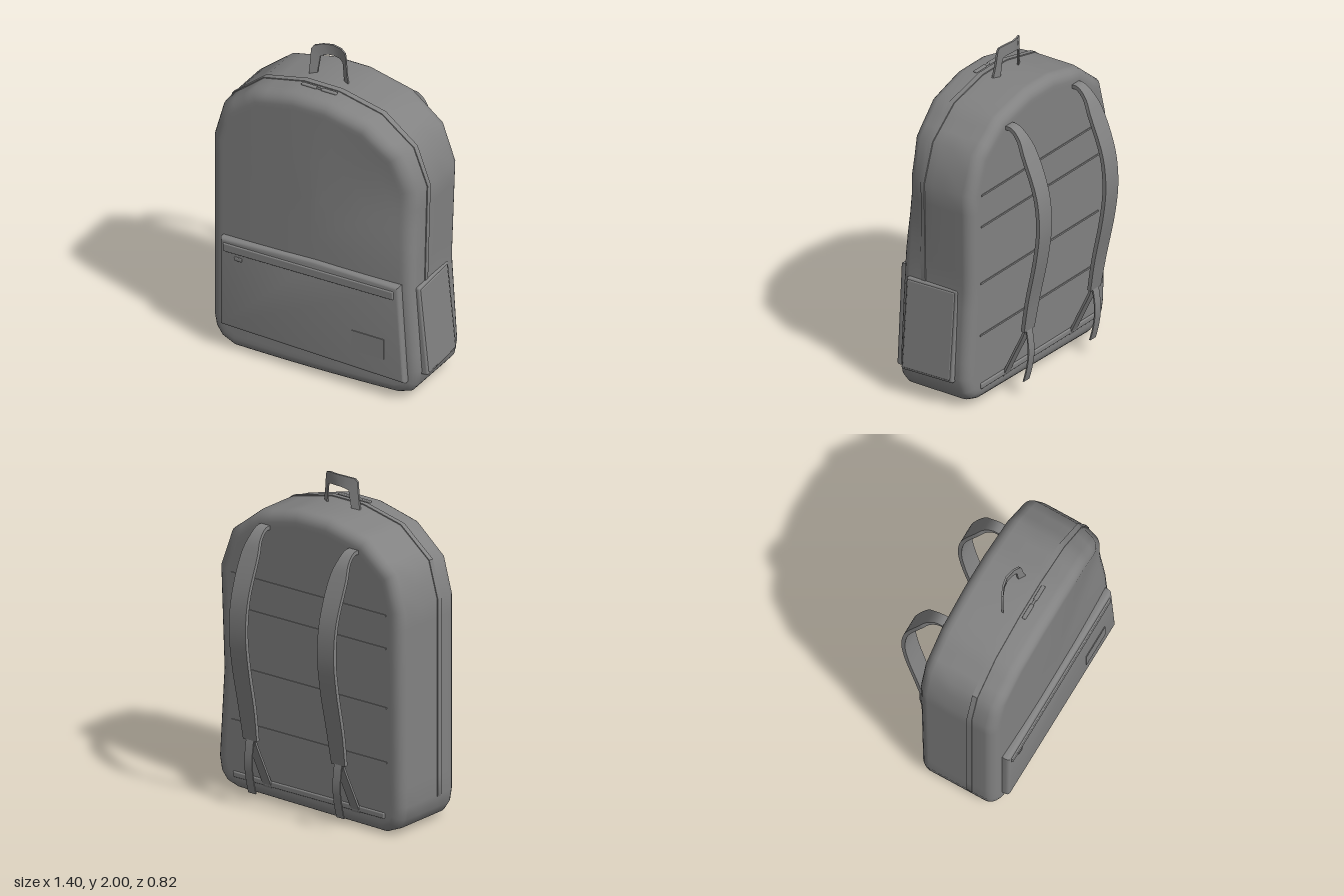
import * as THREE from 'three';
import { toCreasedNormals } from 'three/addons/utils/BufferGeometryUtils.js';
import { RoundedBoxGeometry } from 'three/addons/geometries/RoundedBoxGeometry.js';

const fabric = new THREE.MeshStandardMaterial({ color: 0x828282 });
const step = THREE.MathUtils.smoothstep;

function add(parent, name, geometry, x = 0, y = 0, z = 0) {
  const mesh = new THREE.Mesh(geometry, fabric);
  mesh.name = name;
  mesh.position.set(x, y, z);
  parent.add(mesh);
  return mesh;
}

// Skin closed rings of [x, y, z] points, with a fan at each end.
function loft(rings, crease = 0) {
  const n = rings[0].length, last = (rings.length - 1) * n;
  const pos = rings.flat(2), idx = [];
  for (let i = 0; i < rings.length - 1; i++) {
    for (let j = 0; j < n; j++) {
      const a = i * n + j, b = i * n + (j + 1) % n;
      idx.push(a, b, b + n, a, b + n, a + n);
    }
  }
  const centre = ring => [0, 1, 2].map(k => ring.reduce((s, p) => s + p[k], 0) / n);
  pos.push(...centre(rings[0]), ...centre(rings[rings.length - 1]));
  const c = rings.length * n;
  for (let j = 0; j < n; j++) {
    const k = (j + 1) % n;
    idx.push(c, k, j, c + 1, last + j, last + k);
  }
  const geo = new THREE.BufferGeometry();
  geo.setAttribute('position', new THREE.Float32BufferAttribute(pos, 3));
  geo.setIndex(idx);
  geo.computeVertexNormals();
  return crease ? toCreasedNormals(geo, crease) : geo;
}

// Bag outline, anticlockwise from the bottom right, with long edges subdivided.
const corners = [
  [0.52, 0.02], [0.6, 0.045], [0.645, 0.1], [0.66, 0.19], [0.622, 0.73], [0.64, 1.35],
  [0.555, 1.58], [0.35, 1.74], [0.07, 1.805], [-0.16, 1.805], [-0.43, 1.745], [-0.635, 1.58],
  [-0.697, 1.36], [-0.697, 0.18], [-0.682, 0.1], [-0.64, 0.04], [-0.55, 0.002],
];
const outline = corners.flatMap(([x, y], i) => {
  const [u, v] = corners[(i + 1) % corners.length];
  const n = Math.ceil(Math.hypot(u - x, v - y) / 0.13);
  return Array.from({ length: n }, (_, k) => [x + (u - x) * k / n, y + (v - y) * k / n]);
});

// Move the outline inwards along its mitred normals.
function inset(amount) {
  const n = outline.length;
  const dir = (a, b) => new THREE.Vector2(b[0] - a[0], b[1] - a[1]).normalize();
  return outline.map((p, i) => {
    const d0 = dir(outline[(i + n - 1) % n], p), d1 = dir(p, outline[(i + 1) % n]);
    const m = new THREE.Vector2(-d0.y - d1.y, d0.x + d1.x).normalize();
    const k = (typeof amount === 'function' ? amount(p) : amount) / (m.x * -d1.y + m.y * d1.x);
    return [p[0] + m.x * k, p[1] + m.y * k];
  });
}

// Soft deformation: sloping back, slack front, narrower front right edge.
const backZ = y => -0.135 - 0.012 * y;
function place(x, y, z) {
  const front = step(z, 0.15, 0.37);
  const slack = 0.04 * Math.exp(-(((y - 1.3) / 0.35) ** 2)) * THREE.MathUtils.clamp(x / 0.6, 0, 1);
  const bow = 0.015 * (x / 0.6) ** 2;
  const back = 1 - step(z, -0.14, 0.1);
  return [
    x - (x > 0 ? 0.03 * front * step(y, 0.7, 1.3) * Math.min(1, x / 0.4) : 0),
    y - 0.014 * front * step(y, 1, 1.7),
    z - front * (slack + bow) + back * (backZ(y) + 0.145),
  ];
}

function bodyGeometry() {
  const r = 0.065, zb = -0.145, zf = 0.37, rings = [];
  const ring = (d, z, s = 1) =>
    inset(d).map(([x, y]) => place(-0.02 + (x + 0.02) * s, 0.9 + (y - 0.9) * s, z));
  const scales = [0.3, 0.6, 0.85, 0.97];
  scales.forEach(s => rings.push(ring(r, zb, s)));
  for (let i = 0; i <= 5; i++) {
    const t = i / 5 * Math.PI / 2;
    rings.push(ring(r * (1 - Math.sin(t)), zb + r * (1 - Math.cos(t))));
  }
  [0.04, 0.12, 0.2, 0.25].forEach(z => rings.push(ring(0, z)));
  for (let i = 0; i <= 5; i++) {
    const t = i / 5 * Math.PI / 2;
    rings.push(ring(r * (1 - Math.cos(t)), zf - r * (1 - Math.sin(t))));
  }
  scales.reverse().forEach(s => rings.push(ring(r, zf, s)));
  return loft(rings);
}

// Flat band running through [y, z, width] points, widest along x.
function band(points, thickness, samples) {
  const curve = new THREE.CatmullRomCurve3(points.map(p => new THREE.Vector3(...p)));
  const rings = [];
  for (let i = 0; i <= samples; i++) {
    const { x: y, y: z, z: w } = curve.getPoint(i / samples);
    const t = curve.getTangent(i / samples), len = Math.hypot(t.x, t.y);
    const uy = t.y / len * thickness / 2, uz = -t.x / len * thickness / 2;
    rings.push([[w / 2, y - uy, z - uz], [w / 2, y + uy, z + uz],
      [-w / 2, y + uy, z + uz], [-w / 2, y - uy, z - uz]]);
  }
  return loft(rings, 0.7);
}

export function createModel() {
  const bag = new THREE.Group();
  bag.name = 'backpack';
  add(bag, 'body', bodyGeometry());

  // Zip band over the top and down the right side, ending at the side pocket on the left
  const bandRing = (d, z) => inset(([x, y]) => (y > (x > 0 ? 0.72 : 0.15) ? d : 0.02))
    .map(([x, y]) => place(x, y, z));
  add(bag, 'mainZip', loft([bandRing(0.02, 0.174), bandRing(-0.005, 0.178),
    bandRing(-0.005, 0.212), bandRing(0.02, 0.216)], 0.6));
  for (const x of [-0.115, 0.015]) {
    add(bag, 'mainZipPull', new RoundedBoxGeometry(0.1, 0.014, 0.024, 2, 0.006), x, 1.803, 0.238);
  }
  add(bag, 'mainZipPullLink', new RoundedBoxGeometry(0.06, 0.012, 0.014, 2, 0.005), -0.05, 1.803, 0.238);

  // Top handle: outer and inner edge pairs, bowed backwards
  const edges = [
    [-0.19, 1.79, -0.15, 1.79], [-0.183, 1.88, -0.14, 1.86], [-0.178, 1.965, -0.133, 1.915],
    [-0.165, 1.985, -0.115, 1.923], [-0.12, 1.995, -0.09, 1.93], [-0.06, 2, -0.055, 1.932],
    [0, 1.997, -0.01, 1.93], [0.035, 1.985, 0.012, 1.92], [0.043, 1.965, 0.018, 1.905],
    [0.053, 1.88, 0.022, 1.86], [0.07, 1.79, 0.03, 1.79],
  ];
  add(bag, 'topHandle', loft(edges.map(([ox, oy, ix, iy]) => {
    const z = x => 0.115 - 0.05 * Math.max(0, Math.cos((x + 0.06) / 0.13 * Math.PI / 2));
    return [[ox, oy, z(ox) - 0.006], [ox, oy, z(ox) + 0.006],
      [ix, iy, z(ix) + 0.006], [ix, iy, z(ix) - 0.006]];
  }), 0.7));

  // Front pocket with zip flap, pull and blank patch
  const pocket = new THREE.Group();
  pocket.name = 'frontPocket';
  bag.add(pocket);
  const shape = new THREE.Shape([[-0.59, 0.182], [0.58, 0.152], [0.54, 0.735], [0, 0.74], [-0.59, 0.715]]
    .map(p => new THREE.Vector2(...p)));
  add(pocket, 'pocketPanel', toCreasedNormals(new THREE.ExtrudeGeometry(shape, {
    depth: 0.03, bevelSize: 0.02, bevelThickness: 0.022, bevelSegments: 4,
  }), 0.6), 0, 0, 0.348);
  add(pocket, 'pocketZipFlap', new RoundedBoxGeometry(1.115, 0.052, 0.024, 2, 0.006), -0.027, 0.69, 0.398)
    .rotation.z = 0.012;
  add(pocket, 'pocketZipPull', new RoundedBoxGeometry(0.05, 0.022, 0.014, 2, 0.005), -0.487, 0.627, 0.402);
  add(pocket, 'patch', new THREE.BoxGeometry(0.21, 0.13, 0.01), 0.365, 0.325, 0.4);

  // Single side pocket, leaning out at the bottom, with a raised panel
  const side = new THREE.Group();
  side.name = 'sidePocket';
  side.position.set(0.633, 0.445, 0.125);
  side.rotation.set(0, 0.045, 0.1);
  bag.add(side);
  add(side, 'sidePocketBase', new RoundedBoxGeometry(0.06, 0.565, 0.35, 3, 0.014));
  add(side, 'sidePocketPanel', new RoundedBoxGeometry(0.02, 0.535, 0.32, 2, 0.008), 0.025, 0, 0.004);

  // Quilting seams and bottom hem on the back
  for (const y of [1.33, 1.13, 0.77, 0.44]) {
    add(bag, 'backSeam', new THREE.BoxGeometry(1.13, 0.01, 0.01), -0.025, y, backZ(y));
  }
  add(bag, 'backHem', new RoundedBoxGeometry(1.1, 0.035, 0.02, 2, 0.008), -0.02, 0.115, backZ(0.115));

  // Shoulder straps with lower webbing and loose tails
  const padded = [[1.665, -0.13, 0.065], [1.665, -0.19, 0.065], [1.62, -0.245, 0.08], [1.54, -0.29, 0.115],
    [1.3, -0.38, 0.12], [1.1, -0.4, 0.12], [0.9, -0.378, 0.12], [0.62, -0.32, 0.115], [0.42, -0.286, 0.1]];
  const webbing = [[0.46, -0.29, 0.06], [0.41, -0.28, 0.06], [0.25, -0.205, 0.06], [0.09, -0.13, 0.06]];
  const tail = [[0.45, -0.288, 0.055], [0.38, -0.302, 0.055], [0.28, -0.31, 0.055], [0.18, -0.297, 0.055],
    [0.095, -0.275, 0.055]];
  for (const x of [-0.36, 0.28]) {
    const strap = new THREE.Group();
    strap.name = x > 0 ? 'leftStrap' : 'rightStrap';
    strap.position.x = x;
    bag.add(strap);
    add(strap, 'strapPad', band(padded, 0.024, 40));
    add(strap, 'strapWebbing', band(webbing, 0.014, 10));
    add(strap, 'strapTail', band(tail, 0.008, 14));
  }
  return bag;
}
